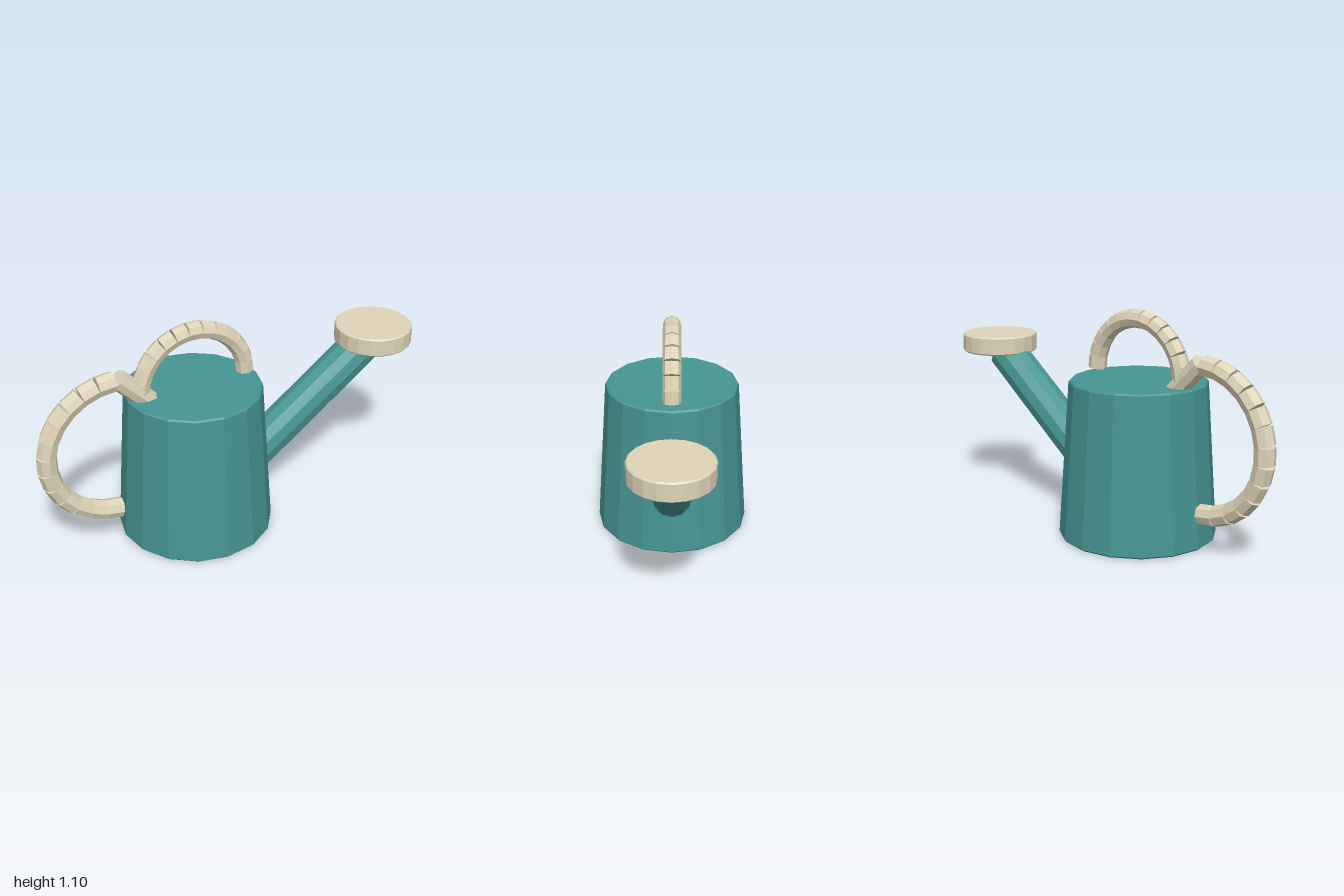
import * as THREE from 'three';

const teal = new THREE.MeshStandardMaterial({ color: 0x469593, flatShading: true });
const cream = new THREE.MeshStandardMaterial({ color: 0xded4b8, flatShading: true });

function addMesh(parent, name, geometry, material) {
  const mesh = new THREE.Mesh(geometry, material);
  mesh.name = name;
  parent.add(mesh);
  return mesh;
}

// Solid drum with small bevels on both rims, standing on y = 0
function drum(rBottom, rTop, height, sides, bevel) {
  const profile = [
    [0, 0], [rBottom - bevel, 0], [rBottom, bevel],
    [rTop, height - bevel], [rTop - bevel, height], [0, height],
  ].map(([r, y]) => new THREE.Vector2(r, y));
  return new THREE.LatheGeometry(profile, sides);
}

// Straight round bar between two points of the x-y plane
function addBar(parent, name, [x1, y1], [x2, y2], radius, sides, material) {
  const length = Math.hypot(x2 - x1, y2 - y1);
  const bar = addMesh(parent, name, new THREE.CylinderGeometry(radius, radius, length, sides), material);
  bar.position.set((x1 + x2) / 2, (y1 + y2) / 2, 0);
  bar.rotation.z = Math.atan2(y2 - y1, x2 - x1) - Math.PI / 2;
}

// Half ring of separate straight segments, open at the outer joints
function addSegmentedHandle(parent, name, cx, cy, arcRadius, tubeRadius, startAngle) {
  const handle = new THREE.Group();
  handle.name = name;
  const count = 13;
  const step = Math.PI / count;
  const geometry = new THREE.CylinderGeometry(tubeRadius, tubeRadius, arcRadius * step * 0.98, 8);
  for (let i = 0; i < count; i++) {
    const a = startAngle + (i + 0.5) * step;
    const segment = addMesh(handle, 'handleSegment', geometry, cream);
    segment.position.set(cx + arcRadius * Math.cos(a), cy + arcRadius * Math.sin(a), 0);
    segment.rotation.z = a;
  }
  parent.add(handle);
}

export function createModel() {
  const can = new THREE.Group();
  can.name = 'wateringCan';

  // Tapered tank
  const body = addMesh(can, 'body', drum(0.385, 0.335, 0.767, 16, 0.008), teal);
  body.position.x = -0.203;

  // Spout and its sprinkler head
  addBar(can, 'spout', [0.07, 0.257], [0.745, 0.775], 0.1, 12, teal);
  const head = addMesh(can, 'sprinklerHead', drum(0.195, 0.195, 0.095, 20, 0.007), cream);
  head.position.set(0.803, 0.78, 0);

  // Carrying arch, rear handle and the strut joining them
  addSegmentedHandle(can, 'topHandle', -0.2, 0.787, 0.27, 0.045, 0);
  addSegmentedHandle(can, 'rearHandle', -0.6, 0.537, 0.35, 0.05, Math.PI / 2);
  addBar(can, 'handleStrut', [-0.585, 0.897], [-0.43, 0.742], 0.05, 8, cream);

  return can;
}
